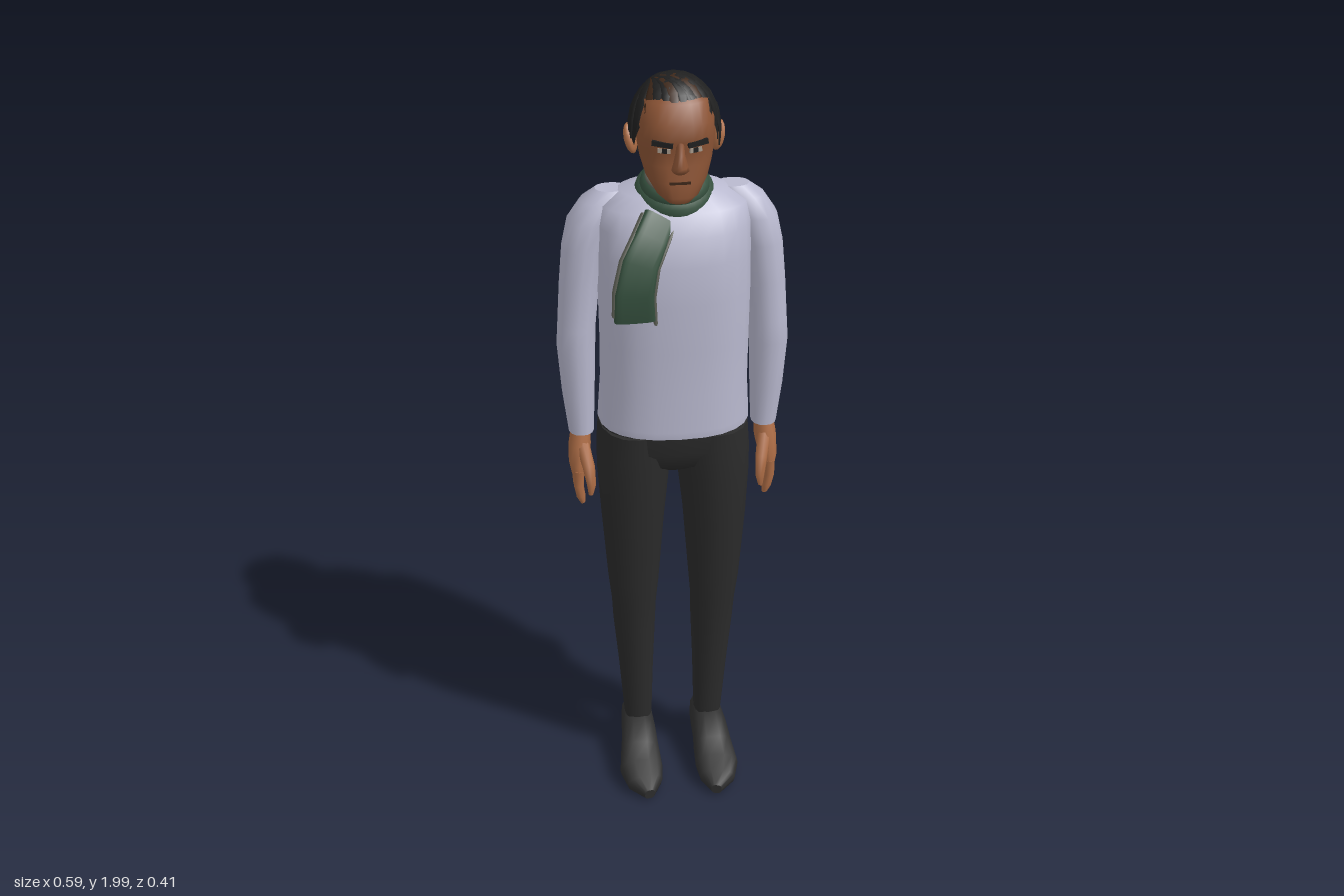
import * as THREE from 'three';

const mat = (name, color) => Object.assign(new THREE.MeshStandardMaterial({ color, side: THREE.DoubleSide }), { name });
const V = (x, y, z) => new THREE.Vector3(x, y, z);
const spow = (c, n) => Math.sign(c) * Math.pow(Math.abs(c), 2 / n);

// Skin closed rings of points (counter-clockwise about the direction of travel)
function loft(rings, caps = true) {
  const n = rings[0].length, pos = [], idx = [];
  rings.forEach(r => r.forEach(p => pos.push(p.x, p.y, p.z)));
  for (let i = 0; i < rings.length - 1; i++) for (let j = 0; j < n; j++) {
    const a = i * n + j, b = i * n + (j + 1) % n;
    idx.push(a, b, b + n, a, b + n, a + n);
  }
  if (caps) [rings[0], rings[rings.length - 1]].forEach((r, e) => {
    const base = pos.length / 3, c = V(0, 0, 0);
    r.forEach(p => { pos.push(p.x, p.y, p.z); c.addScaledVector(p, 1 / n); });
    pos.push(c.x, c.y, c.z);
    for (let j = 0; j < n; j++) {
      const a = base + j, b = base + (j + 1) % n;
      idx.push(base + n, e ? a : b, e ? b : a);
    }
  });
  const g = new THREE.BufferGeometry();
  g.setAttribute('position', new THREE.Float32BufferAttribute(pos, 3));
  g.setIndex(idx);
  g.computeVertexNormals();
  return g;
}

// Upright body: rows of [y, centreX, halfX, frontZ, backZ], bottom to top
function body(rows, s = 1, n = 2.4, seg = 20) {
  return loft(rows.map(([y, cx, hx, zf, zb]) => Array.from({ length: seg }, (_, j) => {
    const a = j / seg * Math.PI * 2;
    return V(s * cx + hx * spow(Math.sin(a), n), y, (zf + zb) / 2 + (zf - zb) / 2 * spow(Math.cos(a), n));
  })));
}

// Sweep along points [x, y, z, halfWidth, halfThickness]; hint gives the thickness direction
function sweep(pts, hint, n = 2, seg = 8) {
  const P = pts.map(p => V(p[0], p[1], p[2]));
  return loft(P.map((p, i) => {
    const t = P[Math.min(i + 1, P.length - 1)].clone().sub(P[Math.max(i - 1, 0)]).normalize();
    const h = typeof hint === 'function' ? hint(p) : hint;
    const v = h.clone().addScaledVector(t, -h.dot(t)).normalize(), u = v.clone().cross(t);
    return Array.from({ length: seg }, (_, j) => {
      const a = j / seg * Math.PI * 2;
      return p.clone().addScaledVector(u, pts[i][3] * spow(Math.cos(a), n)).addScaledVector(v, pts[i][4] * spow(Math.sin(a), n));
    });
  }));
}

// Hair surface at azimuth a and relative height h
function scalp(a, h, k = 1) {
  const r = h > 0 ? Math.sqrt(Math.max(0, 1 - h * h)) : 1 - 0.15 * h * h;
  return V(0.106 * k * r * Math.sin(a), 1.865 + 0.124 * k * h, 0.002 + 0.104 * k * r * Math.cos(a));
}
const hairline = [[0, 0.42], [0.8, 0.36], [1.1, 0.05], [1.3, -0.3], [1.75, -0.1], [2.1, -0.65], [3.15, -0.8]];
function hairlineAt(a) {
  const x = Math.abs(a), i = Math.max(1, hairline.findIndex(p => p[0] >= x));
  const [p, q] = [hairline[i - 1], hairline[i]];
  return p[1] + (q[1] - p[1]) * (x - p[0]) / (q[0] - p[0]);
}

export function createModel() {
  const root = new THREE.Group();
  const shirt = mat('pale lavender knit', 0xb9b9cf), cloth = mat('charcoal cloth', 0x2b2b2b);
  const shoeMat = mat('dark shoe', 0x303030), skin = mat('warm skin', 0xac6c45), face = mat('face skin', 0x8c5435);
  const hair = mat('black hair', 0x1f1f1f), brown = mat('brown hair', 0x3d2719);
  const green = mat('green wool', 0x36513f), trim = mat('grey wool', 0x62645a), white = mat('eye white', 0xa89a8c);
  const add = (name, geo, m, parent = root) => {
    const mesh = new THREE.Mesh(geo, m);
    mesh.name = name;
    parent.add(mesh);
    return mesh;
  };

  // Sweater and hips
  add('sweaterBody', body([
    [1.08, 0, 0.195, 0.125, -0.2], [1.1, 0, 0.194, 0.128, -0.195], [1.2, 0, 0.188, 0.127, -0.175],
    [1.32, 0, 0.188, 0.132, -0.16], [1.45, 0, 0.19, 0.138, -0.165], [1.55, 0, 0.19, 0.136, -0.173],
    [1.62, 0, 0.19, 0.118, -0.165], [1.67, 0, 0.18, 0.088, -0.145], [1.7, 0, 0.13, 0.06, -0.115],
    [1.72, 0, 0.07, 0.04, -0.09]], 1, 2.4, 24), shirt);
  add('trouserHips', body([
    [0.94, 0, 0.06, 0.03, -0.11], [0.97, 0, 0.16, 0.075, -0.165], [1.02, 0, 0.195, 0.1, -0.188],
    [1.09, 0, 0.19, 0.105, -0.188]], 1, 2.6), cloth);

  for (const s of [1, -1]) {
    const side = s > 0 ? 'left' : 'right';
    // Sleeve
    add(side + 'Sleeve', body([
      [1.04, 0.238, 0.033, 0.0, -0.085], [1.15, 0.243, 0.042, 0.01, -0.095], [1.28, 0.246, 0.049, 0.02, -0.105],
      [1.34, 0.243, 0.048, 0.02, -0.106], [1.45, 0.234, 0.05, 0.022, -0.11], [1.55, 0.222, 0.053, 0.025, -0.115],
      [1.62, 0.203, 0.057, 0.022, -0.115], [1.67, 0.172, 0.055, 0.008, -0.1], [1.697, 0.15, 0.04, -0.015, -0.08]],
      s, 2.2, 14), shirt);

    // Hand with four fingers and a thumb
    const hand = new THREE.Group();
    hand.name = side + 'Hand';
    root.add(hand);
    const out = V(1, 0, 0);
    add('palm', sweep([
      [s * 0.238, 1.06, -0.044, 0.03, 0.024], [s * 0.243, 1.0, -0.038, 0.043, 0.029],
      [s * 0.249, 0.95, -0.034, 0.051, 0.024], [s * 0.25, 0.915, -0.034, 0.048, 0.016]], out, 2.4, 12), skin, hand);
    [-0.072, -0.046, -0.02, 0.004].forEach((z, i) => {
      const tip = [0.855, 0.833, 0.83, 0.845][i];
      add('finger', sweep([
        [s * 0.25, 0.94, z, 0.013, 0.014], [s * 0.251, 0.895, z - 0.002, 0.013, 0.013],
        [s * 0.245, tip + 0.02, z, 0.011, 0.011], [s * 0.24, tip, z, 0.005, 0.005]], out), skin, hand);
    });
    add('thumb', sweep([
      [s * 0.238, 1.01, -0.015, 0.016, 0.018], [s * 0.225, 0.96, 0.025, 0.015, 0.016],
      [s * 0.22, 0.915, 0.037, 0.012, 0.012], [s * 0.222, 0.885, 0.036, 0.005, 0.006]], out), skin, hand);

    // Trouser leg
    add(side + 'TrouserLeg', body([
      [0.125, 0.098, 0.037, -0.003, -0.095], [0.145, 0.098, 0.039, 0.0, -0.097], [0.3, 0.102, 0.047, 0.018, -0.11],
      [0.45, 0.106, 0.057, 0.034, -0.121], [0.52, 0.107, 0.06, 0.042, -0.108], [0.6, 0.108, 0.068, 0.055, -0.106],
      [0.8, 0.108, 0.083, 0.085, -0.148], [0.93, 0.105, 0.094, 0.093, -0.178], [1.0, 0.101, 0.098, 0.1, -0.19],
      [1.07, 0.098, 0.096, 0.1, -0.188]], s, 2.3, 16), cloth);

    // Shoe
    add(side + 'Shoe', sweep([
      [s * 0.098, 0.052, -0.121, 0.03, 0.046], [s * 0.098, 0.066, -0.1, 0.043, 0.064],
      [s * 0.1, 0.068, -0.005, 0.048, 0.066], [s * 0.102, 0.05, 0.05, 0.054, 0.048],
      [s * 0.105, 0.038, 0.11, 0.059, 0.036], [s * 0.1, 0.029, 0.16, 0.048, 0.027],
      [s * 0.092, 0.022, 0.203, 0.014, 0.016]], V(0, 1, 0), 2.8, 14), shoeMat);
  }

  // Scarf: tilted collar with grey rim, and a hanging tail
  const collar = (R, r, sy, y) => new THREE.TorusGeometry(R, r, 10, 28).rotateX(Math.PI / 2).scale(1, sy, 1)
    .translate(0, y, 0).rotateX(0.33).translate(0, 1.7, -0.003);
  add('scarfCollar', collar(0.071, 0.029, 1.25, -0.006), green);
  add('scarfInnerWrap', collar(0.064, 0.021, 1.2, 0.024), green);
  add('scarfRim', collar(0.066, 0.008, 1, 0.047), trim);
  const tail = [[-0.045, 1.665, 0.082, 0.04], [-0.07, 1.625, 0.118, 0.042], [-0.1, 1.57, 0.145, 0.045],
    [-0.115, 1.5, 0.157, 0.048], [-0.113, 1.425, 0.14, 0.051]];
  add('scarfTail', sweep(tail.map(p => [...p, 0.014]), V(0, 0, 1), 4, 16), green);
  for (const s of [1, -1]) add('scarfTailEdge', sweep(tail.map(([x, y, z, w]) => [x + s * w, y - s * w * 0.25, z - 0.004, 0.005, 0.011]),
    V(0, 0, 1)), trim);

  // Head
  const head = new THREE.Group();
  head.name = 'head';
  root.add(head);
  add('neck', body([[1.66, 0, 0.062, 0.04, -0.085], [1.78, 0, 0.06, 0.045, -0.08]], 1, 2), face, head);
  add('skull', body([
    [1.708, 0, 0.03, 0.112, 0.03], [1.725, 0, 0.052, 0.122, -0.02], [1.76, 0, 0.074, 0.117, -0.055],
    [1.8, 0, 0.086, 0.113, -0.08], [1.835, 0, 0.092, 0.108, -0.088], [1.862, 0, 0.093, 0.12, -0.09],
    [1.9, 0, 0.092, 0.115, -0.09], [1.945, 0, 0.08, 0.092, -0.08], [1.975, 0, 0.045, 0.045, -0.045]], 1, 2.5, 24), face, head);
  add('nose', body([
    [1.784, 0, 0.014, 0.122, 0.09], [1.795, 0, 0.022, 0.142, 0.09], [1.808, 0, 0.018, 0.151, 0.09],
    [1.835, 0, 0.011, 0.135, 0.09], [1.862, 0, 0.01, 0.121, 0.09]], 1, 2, 10), face, head);
  add('mouth', new THREE.BoxGeometry(0.05, 0.006, 0.009).translate(0, 1.762, 0.114), brown, head);
  for (const s of [1, -1]) {
    const ear = add('ear', new THREE.SphereGeometry(1, 12, 8), skin, head);
    ear.scale.set(0.014, 0.038, 0.024);
    ear.position.set(s * 0.105, 1.835, -0.008);
    ear.rotation.set(-0.15, s * 0.45, -s * 0.2);
    const plate = (name, w, h, x, y, z, m, tilt) => {
      const p = add(name, new THREE.BoxGeometry(w, h, 0.009), m, head);
      p.position.set(s * x, y, z);
      p.rotation.set(0, s * 0.28, s * tilt);
    };
    plate('eye', 0.03, 0.011, 0.037, 1.841, 0.106, white, 0.05);
    plate('iris', 0.012, 0.011, 0.036, 1.841, 0.1075, hair, 0.05);
    plate('eyebrow', 0.05, 0.012, 0.042, 1.859, 0.113, hair, 0.12);
  }

  // Hair cap following the hairline
  const seg = 48, rows = 9;
  add('hairCap', loft(Array.from({ length: rows }, (_, i) => Array.from({ length: seg }, (_, j) => {
    const a = (j / seg - 0.5) * Math.PI * 2;
    return scalp(a, Math.cos((1 - i / (rows - 1) * 0.999) * Math.acos(hairlineAt(a))), 0.985);
  })), false), hair, head);

  // Pointed locks combed from an off-centre crown
  const crown = V(-0.45, 0.88, -0.15).normalize(), mid = V(0, 1.865, 0);
  const lock = (a, h, w, m, swirl) => {
    const r = Math.sqrt(1 - h * h), end = V(r * Math.sin(a), h, r * Math.cos(a));
    const pts = Array.from({ length: 8 }, (_, k) => {
      const t = k / 7, d = crown.clone().lerp(end, t);
      d.x += swirl * Math.sin(t * Math.PI);
      d.normalize();
      const p = scalp(Math.atan2(d.x, d.z), d.y, 1 + 0.03 * t);
      return [p.x, p.y, p.z, w * Math.sqrt(Math.sin(Math.PI * (0.12 + 0.87 * t))), 0.009 * (1 - 0.8 * t)];
    });
    add('hairLock', sweep(pts, p => p.clone().sub(mid), 2, 6), m, head);
  };
  for (let i = 0; i < 26; i++) {
    const a = (i / 26 - 0.5) * Math.PI * 2 + 0.1, front = Math.cos(a) > 0.35;
    const h = Math.max(-0.72, hairlineAt(Math.atan2(Math.sin(a), Math.cos(a))) + (i % 2 ? 0.12 : -0.04));
    lock(a, h, 0.017, front && i % 3 === 0 ? brown : hair, front ? 0.2 : 0.05);
  }
  for (let i = 0; i < 12; i++) lock(0.5 + i * 0.4, 0.45 + 0.15 * (i % 2), 0.018, hair, 0.12);

  return root;
}
